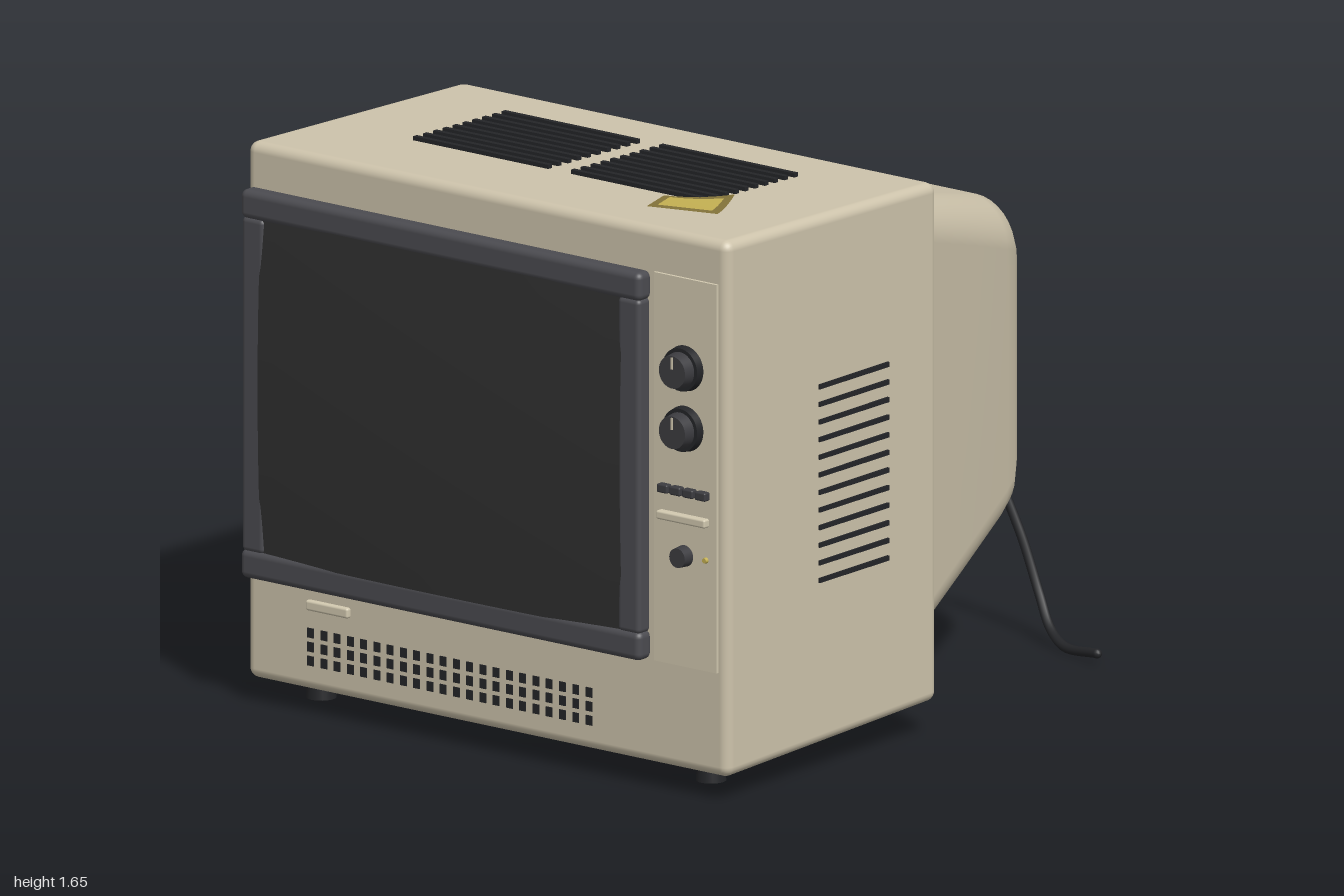
import * as THREE from 'three';
import { RoundedBoxGeometry } from 'three/addons/geometries/RoundedBoxGeometry.js';

const mat = (name, color, side = THREE.FrontSide) => {
  const m = new THREE.MeshStandardMaterial({ color, side });
  m.name = name;
  return m;
};

export function createModel() {
  const model = new THREE.Group();
  model.name = 'television';
  const beige = mat('beige plastic', 0xcdc3ab);
  const trim = mat('pale trim', 0xd2c9b0);
  const bezel = mat('dark grey bezel', 0x4b4b50);
  const glass = mat('screen glass', 0x303030);
  const knobGrey = mat('knob grey', 0x3c3c40);
  const black = mat('black plastic', 0x242528);
  const labelEdge = mat('label edge', 0x83733a, THREE.DoubleSide);
  const labelFace = mat('label yellow', 0xc4b052, THREE.DoubleSide);

  const add = (name, geo, material, x = 0, y = 0, z = 0, parent = model) => {
    const mesh = new THREE.Mesh(geo, material);
    mesh.name = name;
    mesh.position.set(x, y, z);
    parent.add(mesh);
    return mesh;
  };
  const group = (name) => {
    const g = new THREE.Group();
    g.name = name;
    model.add(g);
    return g;
  };
  const box = (w, h, d) => new THREE.BoxGeometry(w, h, d);
  const soft = (w, h, d, r) => new RoundedBoxGeometry(w, h, d, 3, r);
  // Cylinder whose top end faces +z
  const disc = (r0, r1, d, n = 32) => new THREE.CylinderGeometry(r1, r0, d, n).rotateX(Math.PI / 2);

  // Cabinet, slightly smaller towards the back
  const cabinet = soft(1.73, 1.555, 0.95, 0.03);
  const cp = cabinet.attributes.position;
  for (let i = 0; i < cp.count; i++) {
    const t = (0.475 - cp.getZ(i)) / 0.95;
    cp.setX(i, cp.getX(i) * (1 - 0.012 * t));
    cp.setY(i, cp.getY(i) * (1 - 0.035 * t));
  }
  add('cabinet', cabinet, beige, -0.004, 0.848, 0.455);
  const topY = (z) => 1.6255 - 0.027 * (0.93 - z) / 0.95;

  // Rear housing: rounded rectangles lofted backwards [z, half width, bottom, top, corner]
  const sections = [
    [-0.015, 0.72, 0.23, 1.48, 0.1], [-0.03, 0.742, 0.207, 1.503, 0.11], [-0.05, 0.748, 0.2, 1.51, 0.12],
    [-0.1, 0.737, 0.205, 1.508, 0.12], [-0.4, 0.65, 0.295, 1.43, 0.13], [-0.68, 0.566, 0.378, 1.355, 0.14],
    [-0.74, 0.545, 0.402, 1.335, 0.14], [-0.785, 0.515, 0.44, 1.3, 0.14], [-0.812, 0.475, 0.49, 1.25, 0.13],
    [-0.825, 0.43, 0.54, 1.2, 0.12], [-0.829, 0.39, 0.58, 1.16, 0.1],
  ];
  const pos = [], index = [], arc = 8, ring = 4 * (arc + 1);
  for (const [z, w, y0, y1, r] of sections) {
    for (let c = 0; c < 4; c++) {
      const cx = (c === 0 || c === 3 ? 1 : -1) * (w - r);
      const cy = c < 2 ? y1 - r : y0 + r;
      for (let k = 0; k <= arc; k++) {
        const a = (c + k / arc) * Math.PI / 2;
        pos.push(cx + r * Math.cos(a), cy + r * Math.sin(a), z);
      }
    }
  }
  for (let s = 0; s < sections.length - 1; s++) {
    for (let k = 0; k < ring; k++) {
      const a = s * ring + k, b = s * ring + (k + 1) % ring;
      index.push(a, a + ring, b, b, a + ring, b + ring);
    }
  }
  const last = (sections.length - 1) * ring;
  pos.push(0, 0.87, -0.829);
  for (let k = 0; k < ring; k++) index.push(last + k, last + ring, last + (k + 1) % ring);
  const housing = new THREE.BufferGeometry();
  housing.setAttribute('position', new THREE.Float32BufferAttribute(pos, 3));
  housing.setIndex(index);
  housing.computeVertexNormals();
  add('rearHousing', housing, beige);

  // Screen frame
  const frame = group('screenFrame');
  for (const y of [1.456, 0.415]) add('frameRail', soft(1.438, 0.084, 0.06, 0.02), bezel, -0.135, y, 0.95, frame);
  for (const x of [-0.81, 0.54]) add('frameStile', soft(0.08, 0.97, 0.055, 0.015), bezel, x, 0.935, 0.949, frame);

  // Bulging screen
  const screen = new THREE.PlaneGeometry(1.3, 0.98, 24, 20);
  const sp = screen.attributes.position;
  for (let i = 0; i < sp.count; i++) {
    const u = sp.getX(i) / 0.65, v = sp.getY(i) / 0.49;
    sp.setZ(i, 0.998 - 0.015 * (u * u + v * v));
  }
  screen.computeVertexNormals();
  add('screen', screen, glass, -0.135, 0.935, 0);

  // Control panel
  const controls = group('controlPanel');
  add('panelPlate', box(0.225, 1.125, 0.02), trim, 0.715, 0.937, 0.929, controls);
  for (const y of [1.24, 1.065]) {
    add('knobSkirt', disc(0.066, 0.062, 0.025, 36), black, 0.715, y, 0.95, controls);
    add('knob', disc(0.053, 0.047, 0.045, 36), knobGrey, 0.715, y, 0.975, controls);
    add('knobPointer', box(0.006, 0.035, 0.004), trim, 0.715, y + 0.026, 0.9975, controls);
  }
  for (let i = 0; i < 4; i++) add('button', soft(0.038, 0.025, 0.03, 0.005), knobGrey, 0.647 + i * 0.0455, 0.883, 0.945, controls);
  add('slider', soft(0.175, 0.025, 0.03, 0.006), trim, 0.713, 0.805, 0.945, controls);
  add('smallKnob', disc(0.031, 0.028, 0.035, 28), knobGrey, 0.713, 0.696, 0.955, controls);
  add('indicatorLight', disc(0.009, 0.007, 0.01, 16), labelFace, 0.79, 0.696, 0.943, controls);

  // Lower front trim and speaker holes
  add('frontTrimBar', soft(0.152, 0.03, 0.025, 0.007), trim, -0.57, 0.321, 0.932);
  const speaker = group('speakerHoles');
  for (let r = 0; r < 3; r++) {
    for (let c = 0; c < 22; c++) {
      add('speakerHole', box(0.023, 0.028, 0.006), black, -0.636 + c * 0.0476, 0.158 + r * 0.0405, 0.9295, speaker);
    }
  }

  // Vent slots on both sides and the top
  const vents = group('vents');
  for (let i = 0; i < 12; i++) {
    for (const s of [-1, 1]) add('sideVent', box(0.012, 0.014, 0.31), black, -0.004 + s * 0.859, 0.56 + i * 0.051, 0.365, vents);
  }
  for (let i = 0; i < 10; i++) {
    const z = 0.207 + i * 0.0437;
    for (const x of [-0.286, 0.28]) add('topVent', box(0.485, 0.024, 0.016), black, x, topY(z), z, vents);
  }

  // Curled paper label on the top
  const label = group('label');
  label.position.set(0.516, 1.6215, 0.667);
  label.rotation.y = 0.28;
  const sheet = (w, d) => {
    const g = new THREE.PlaneGeometry(w, d, 10, 6).rotateX(-Math.PI / 2);
    const p = g.attributes.position;
    for (let i = 0; i < p.count; i++) {
      const curl = Math.max(0, p.getX(i) / 0.108 - p.getZ(i) / 0.063) / 2;
      p.setY(i, 0.026 * curl * curl);
    }
    g.computeVertexNormals();
    return g;
  };
  add('labelBorder', sheet(0.215, 0.125), labelEdge, 0, 0, 0, label);
  add('labelCentre', sheet(0.165, 0.088), labelFace, 0, 0.0025, 0, label);

  // Feet, the rear pair closer together
  for (const [x, z] of [[0.7, 0.8], [0.565, 0.065]]) {
    for (const s of [-1, 1]) add('foot', new THREE.CylinderGeometry(0.036, 0.043, 0.09, 24), black, -0.004 + s * x, 0.06, z);
  }

  // Rear connector plate
  const rear = group('rearConnectors');
  add('connectorPlate', box(0.57, 0.35, 0.04), bezel, 0.103, 0.658, -0.821, rear);
  add('connectorSlot', box(0.19, 0.055, 0.006), black, 0.165, 0.745, -0.841, rear);
  for (const x of [0.285, 0.155]) add('socket', box(0.09, 0.045, 0.008), black, x, 0.59, -0.842, rear);
  add('aerialSocket', disc(0.032, 0.032, 0.04, 24), trim, 0.278, 0.755, -0.855, rear);
  add('aerialHole', disc(0.014, 0.014, 0.004, 16), black, 0.278, 0.755, -0.8745, rear);
  add('ratingPlate', box(0.205, 0.105, 0.025), trim, -0.285, 0.638, -0.825, rear);

  // Power cord
  const path = new THREE.CatmullRomCurve3([
    [0.19, 0.58, -0.83], [0.215, 0.567, -0.9], [0.275, 0.49, -0.955], [0.36, 0.31, -0.983],
    [0.44, 0.13, -0.978], [0.5, 0.05, -0.95], [0.58, 0.016, -0.915], [0.73, 0.03, -0.875],
  ].map((p) => new THREE.Vector3(...p)));
  add('powerCord', new THREE.TubeGeometry(path, 60, 0.014, 10), black);
  for (const t of [0, 1]) {
    const end = path.getPoint(t);
    add('cordEnd', new THREE.SphereGeometry(0.014, 10, 8), black, end.x, end.y, end.z);
  }
  return model;
}
